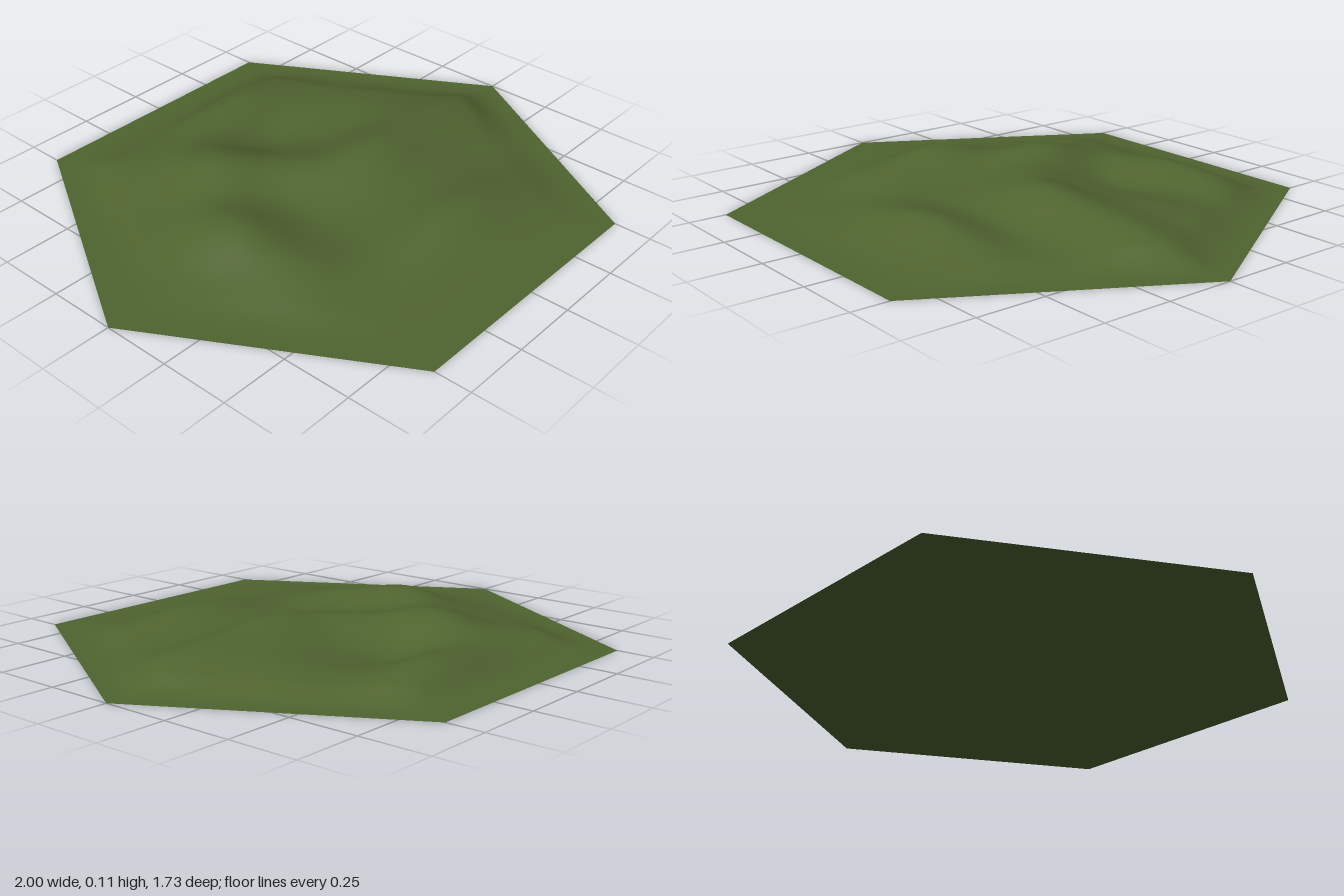
import * as THREE from 'three';
import { mergeVertices } from 'three/addons/utils/BufferGeometryUtils.js';

// Rolling hills: x, z, height, spread in x, spread in z
const hills = [
  [0, 0, 0.03, 0.5, 0.48],           // broad swell under everything
  [-0.46, 0.01, 0.083, 0.12, 0.16],  // west knoll
  [-0.21, -0.31, 0.084, 0.13, 0.14], // north-west knoll
  [0.2, 0.04, 0.078, 0.18, 0.12],    // central ridge
  [0.62, 0.04, 0.06, 0.19, 0.11],    // ridge running east
  [-0.04, -0.1, 0.035, 0.1, 0.1],    // saddle
  [0.2, -0.59, 0.06, 0.24, 0.1],     // back ridge
  [0.16, 0.47, 0.059, 0.22, 0.1],    // front ridge
  [-0.42, -0.58, 0.025, 0.14, 0.12], // back-left rise
  [-0.43, 0.3, 0.025, 0.12, 0.1],    // front-left rise
  [0.5, -0.24, 0.034, 0.16, 0.13],   // east shoulder
  [0.09, -0.38, -0.02, 0.12, 0.08],  // hollow
];

// Distance from a point to the nearest side of the hexagon
function edgeDistance(x, z) {
  const side = Math.sqrt(3) / 2;
  const ax = Math.abs(x), az = Math.abs(z);
  return side - Math.max(az, ax * side + az * 0.5);
}

function heightAt(x, z) {
  let h = 0;
  for (const [cx, cz, amp, sx, sz] of hills) {
    h += amp * Math.exp(-0.5 * (((x - cx) / sx) ** 2 + ((z - cz) / sz) ** 2));
  }
  return Math.max(0, h) * THREE.MathUtils.smoothstep(edgeDistance(x, z), 0.04, 0.21);
}

export function createModel() {
  const grass = new THREE.MeshStandardMaterial({ color: 0x4f632f, side: THREE.DoubleSide });
  grass.name = 'grass green';

  // Disc of rings, pulled in to a hexagon and raised into hills
  let geo = new THREE.RingGeometry(0, 1, 120, 56);
  geo.rotateX(-Math.PI / 2);
  geo.deleteAttribute('uv');
  geo.deleteAttribute('normal');
  const pos = geo.attributes.position;
  const sixth = Math.PI / 3;
  for (let i = 0; i < pos.count; i++) {
    const angle = Math.atan2(pos.getZ(i), pos.getX(i)) + Math.PI * 2;
    const pull = Math.cos(sixth / 2) / Math.cos((angle % sixth) - sixth / 2);
    const x = pos.getX(i) * pull, z = pos.getZ(i) * pull;
    pos.setXYZ(i, x, heightAt(x, z), z);
  }
  geo = mergeVertices(geo, 1e-5);
  geo.computeVertexNormals();

  const terrain = new THREE.Mesh(geo, grass);
  terrain.name = 'hillyTerrain';
  const group = new THREE.Group();
  group.name = 'hexagonalTerrainTile';
  group.add(terrain);
  return group;
}
